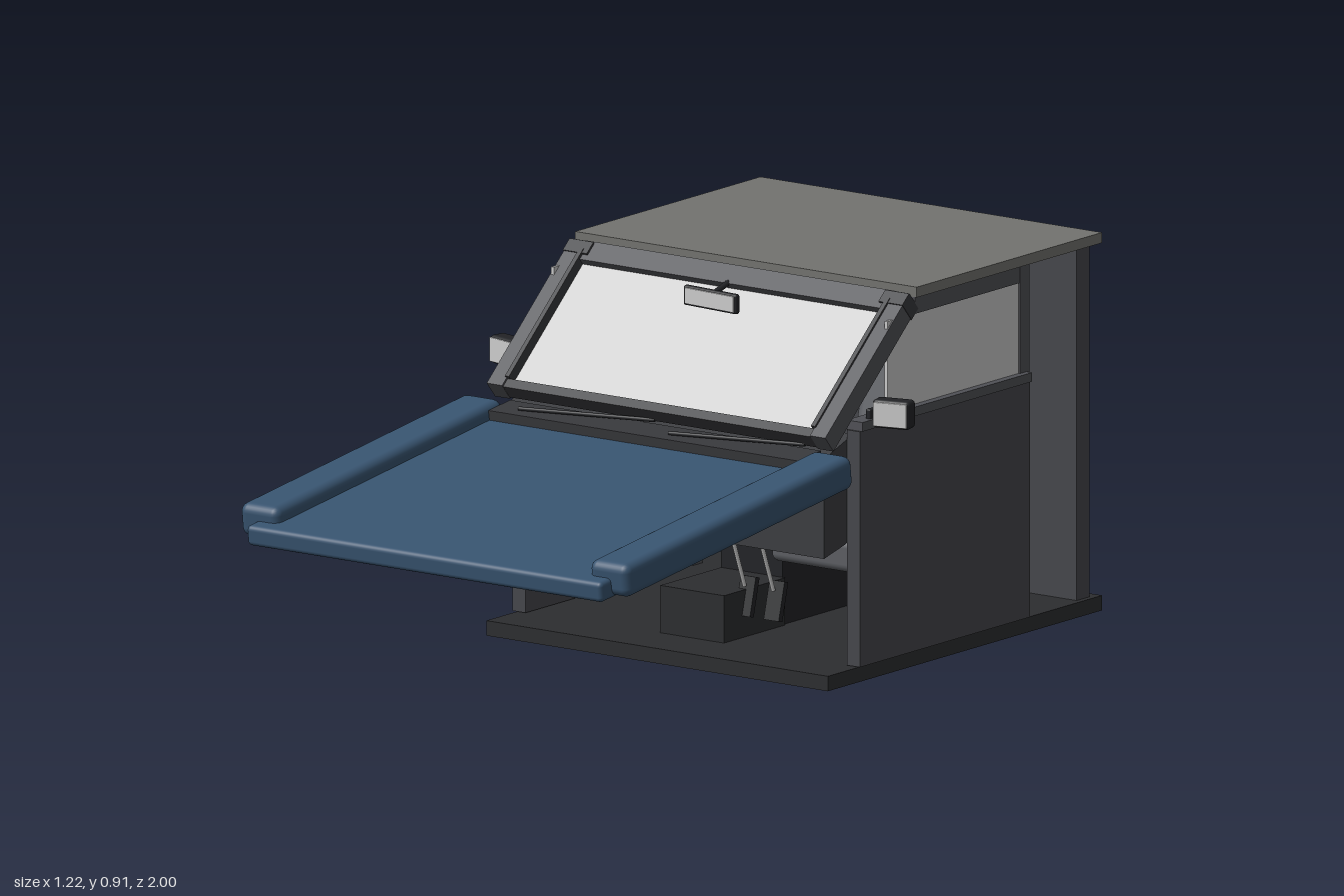
import * as THREE from 'three';
import { RoundedBoxGeometry } from 'three/addons/geometries/RoundedBoxGeometry.js';

const mat = (color, side = THREE.FrontSide) => new THREE.MeshStandardMaterial({ color, side });

export function createModel() {
  const model = new THREE.Group();
  const M = {
    base: mat(0x2c2d2f), wall: mat(0x46474b), frame: mat(0x505156), trim: mat(0x38393c),
    roof: mat(0x73736f), blue: mat(0x385470), seat: mat(0x5c5e63), black: mat(0x222326),
    glass: mat(0xcccccc), steel: mat(0xcccccc), red: mat(0xa03028),
    dash: mat(0x3c3d40),
  };
  const place = (name, geo, m, p, rot = [0, 0, 0], parent = model) => {
    const mesh = new THREE.Mesh(geo, m);
    mesh.name = name;
    mesh.position.set(...p);
    mesh.rotation.set(...rot);
    parent.add(mesh);
    return mesh;
  };
  // box from minimum and maximum corners
  const span = (name, m, a, b) => place(name,
    new THREE.BoxGeometry(b[0] - a[0], b[1] - a[1], b[2] - a[2]), m,
    a.map((v, i) => (v + b[i]) / 2));
  const rounded = (name, m, size, r, p, rot, parent) =>
    place(name, new RoundedBoxGeometry(...size, 3, r), m, p, rot, parent);
  // round rod between two points
  const rod = (name, m, a, b, r) => {
    const A = new THREE.Vector3(...a), B = new THREE.Vector3(...b), d = B.clone().sub(A);
    const mesh = place(name, new THREE.CylinderGeometry(r, r, d.length(), 12), m,
      A.clone().add(B).multiplyScalar(0.5).toArray());
    mesh.quaternion.setFromUnitVectors(new THREE.Vector3(0, 1, 0), d.normalize());
    return mesh;
  };

  // cab shell
  span('floor', M.base, [-0.5, 0, -1], [0.5, 0.036, 0.08]);
  span('roof', M.roof, [-0.5, 0.885, -1], [0.5, 0.91, -0.27]);
  span('backWall', M.wall, [-0.485, 0.036, -0.97], [0.485, 0.885, -0.92]);

  // dashboard with a rounded underside
  const dashShape = new THREE.Shape();
  dashShape.moveTo(0.055, 0.55);
  dashShape.lineTo(-0.06, 0.59);
  dashShape.lineTo(-0.12, 0.57);
  dashShape.quadraticCurveTo(-0.13, 0.36, -0.03, 0.33);
  dashShape.lineTo(0.055, 0.31);
  const dashGeo = new THREE.ExtrudeGeometry(dashShape, { depth: 0.94, bevelEnabled: false });
  place('dashboard', dashGeo, M.dash, [0.47, 0, 0], [0, -Math.PI / 2, 0]);

  // sloped windscreen frame, built flat and leaned back
  const screen = new THREE.Group();
  screen.name = 'windscreen';
  screen.position.set(0, 0.735, -0.098);
  screen.rotation.x = -Math.atan2(0.345, 0.3);
  model.add(screen);
  for (const s of [-1, 1]) {
    place('frontPillar', new THREE.BoxGeometry(0.045, 0.44, 0.05), M.frame, [s * 0.473, 0, 0], [0, 0, 0], screen);
    place('pillarTrim', new THREE.BoxGeometry(0.012, 0.39, 0.06), M.trim, [s * 0.448, 0, 0], [0, 0, 0], screen);
    place('pillarCap', new THREE.BoxGeometry(0.07, 0.035, 0.056), M.trim, [s * 0.462, 0.2, 0], [0, 0, 0], screen);
  }
  place('topRail', new THREE.BoxGeometry(0.91, 0.055, 0.045), M.frame, [0, 0.195, 0], [0, 0, 0], screen);
  place('bottomRail', new THREE.BoxGeometry(0.91, 0.025, 0.04), M.trim, [0, -0.207, 0], [0, 0, 0], screen);
  place('windscreenGlass', new THREE.BoxGeometry(0.9, 0.39, 0.008), M.glass, [0, -0.01, 0], [0, 0, 0], screen);

  // cowl and wipers at the foot of the windscreen
  place('cowl', new THREE.BoxGeometry(0.91, 0.025, 0.085), M.trim, [0, 0.55, 0.088], [0.12, 0, 0]);
  for (const x of [-0.39, 0.05])
    rod('wiper', M.black, [x, 0.565, 0.1], [x + 0.365, 0.578, 0.055], 0.005);

  // tilting hood with a raised fender on each side
  const hood = new THREE.Group();
  hood.name = 'hood';
  hood.position.set(0, 0.46, 0.53);
  hood.rotation.x = 0.12;
  model.add(hood);
  rounded('hoodPanel', M.blue, [1.04, 0.05, 0.945], 0.012, [0, 0, 0], [0, 0, 0], hood);
  for (const s of [-1, 1])
    rounded('fender', M.blue, [0.115, 0.082, 0.9], 0.022, [s * 0.512, 0.02, -0.018], [0, 0, 0], hood);

  for (const s of [-1, 1]) {
    const side = (name, m, x0, x1, y0, y1, z0, z1) =>
      span(name, m, [Math.min(s * x0, s * x1), y0, z0], [Math.max(s * x0, s * x1), y1, z1]);
    // doors, side windows and rear door posts
    side('door', M.wall, 0.47, 0.508, 0.038, 0.605, -0.705, -0.035);
    side('doorSill', M.frame, 0.465, 0.512, 0.605, 0.627, -0.708, -0.04);
    side('sideWindow', M.glass, 0.484, 0.492, 0.627, 0.845, -0.685, -0.165);
    side('windowTopRail', M.frame, 0.475, 0.495, 0.845, 0.885, -0.685, -0.27);
    side('doorPost', M.frame, 0.462, 0.496, 0.036, 0.885, -0.72, -0.682);

    // outside mirrors, turned slightly outwards
    rounded('mirrorHousing', M.black, [0.095, 0.068, 0.045], 0.01, [s * 0.563, 0.646, -0.095], [0, s * 0.25, 0]);
    rounded('mirrorGlass', M.glass, [0.085, 0.058, 0.006], 0.002, [s * 0.569, 0.646, -0.072], [0, s * 0.25, 0]);
    rod('mirrorArm', M.black, [s * 0.485, 0.638, -0.1], [s * 0.54, 0.645, -0.1], 0.009);
    rounded('mirrorBracket', M.black, [0.014, 0.05, 0.04], 0.004, [s * 0.498, 0.625, -0.1]);

    // seats
    const x = s * 0.222;
    rounded('seatCushion', M.seat, [0.295, 0.08, 0.34], 0.02, [x, 0.235, -0.43]);
    rounded('seatBack', M.seat, [0.29, 0.46, 0.07], 0.025, [x, 0.48, -0.625], [-0.24, 0, 0]);
    rounded('headrest', M.seat, [0.18, 0.06, 0.055], 0.02, [x, 0.7, -0.68], [-0.24, 0, 0]);
    place('sunVisor', new THREE.BoxGeometry(0.3, 0.008, 0.13), M.trim, [s * 0.22, 0.866, -0.3], [-0.12, 0, 0]);
  }

  // interior mirror
  rounded('rearMirror', M.black, [0.166, 0.048, 0.016], 0.006, [-0.013, 0.833, -0.152], [0, -0.08, 0]);
  rounded('rearMirrorGlass', M.glass, [0.154, 0.039, 0.004], 0.0015, [-0.013, 0.833, -0.143], [0, -0.08, 0]);
  rod('rearMirrorStem', M.black, [-0.013, 0.845, -0.158], [-0.013, 0.868, -0.24], 0.007);

  // centre console and gear lever
  span('console', M.base, [-0.095, 0.036, -0.3], [0.092, 0.15, -0.06]);
  span('consoleBack', M.black, [-0.095, 0.036, -0.6], [0.085, 0.215, -0.3]);
  rod('gearLever', M.steel, [0, 0.21, -0.33], [0, 0.38, -0.32], 0.007);
  place('gearKnob', new THREE.SphereGeometry(0.018, 16, 12), M.black, [0, 0.39, -0.32]);

  // pedals hanging below the dashboard
  for (const x of [0.093, 0.177]) {
    rod('pedalArm', M.steel, [x, 0.16, -0.14], [x, 0.34, -0.07], 0.005);
    place('pedal', new THREE.BoxGeometry(0.044, 0.095, 0.015), M.black, [x, 0.133, -0.15], [-0.25, 0, 0]);
  }

  // steering column and wheel
  rod('steeringColumn', M.trim, [0.222, 0.45, -0.1], [0.222, 0.54, -0.26], 0.016);
  place('steeringWheel', new THREE.TorusGeometry(0.1, 0.011, 10, 32), M.black, [0.222, 0.54, -0.26], [0.51, 0, 0]);
  for (let i = 0; i < 3; i++)
    rod('wheelSpoke', M.black, [0.222, 0.54, -0.26],
      new THREE.Vector3(0, 0.1, 0).applyEuler(new THREE.Euler(0.51, 0, i * 2.094))
        .add(new THREE.Vector3(0.222, 0.54, -0.26)).toArray(), 0.008);
  // hand brake beside the driver's seat
  rod('handBrake', M.trim, [0.36, 0.235, -0.45], [0.43, 0.225, -0.42], 0.018);

  // fire extinguisher
  place('extinguisher', new THREE.CylinderGeometry(0.027, 0.027, 0.13, 20), M.red, [-0.26, 0.135, -0.6]);

  return model;
}
